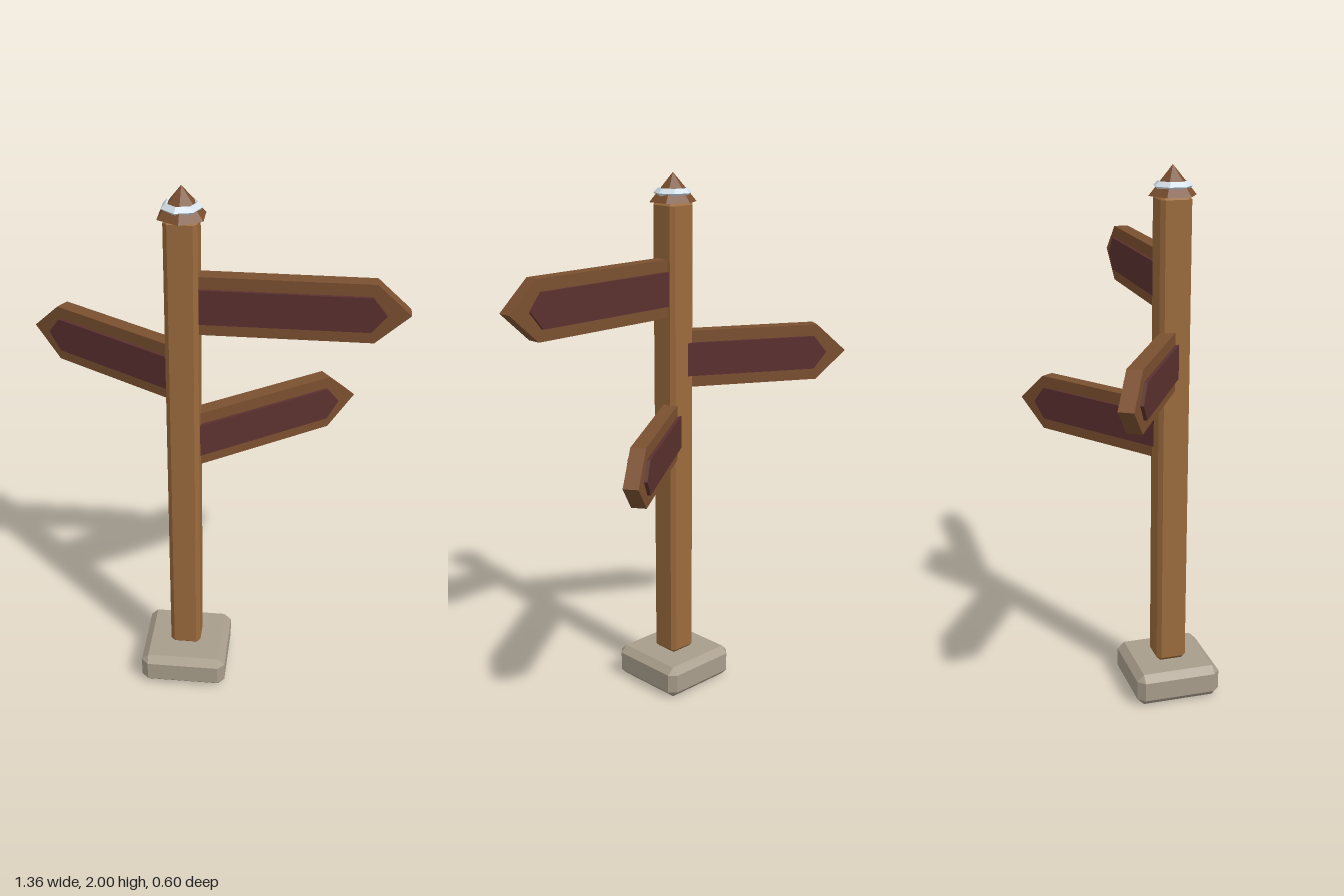
import * as THREE from 'three';
import { ConvexGeometry } from 'three/addons/geometries/ConvexGeometry.js';

const mat = (color) => new THREE.MeshStandardMaterial({ color, flatShading: true });
const postWood = mat(0x9a6a3c);
const signWood = mat(0x7a4f2f);
const panelWood = mat(0x5a302e);
const stone = mat(0xa89d8b);
const silver = mat(0xd5e2ec);

function add(parent, name, geometry, material, y = 0) {
  const mesh = new THREE.Mesh(geometry, material);
  mesh.name = name;
  mesh.position.y = y;
  parent.add(mesh);
  return mesh;
}

// Box with all edges and corners cut off at an angle
function chamferBox(w, h, d, c) {
  const points = [];
  for (const sx of [-1, 1]) for (const sy of [-1, 1]) for (const sz of [-1, 1]) {
    for (let axis = 0; axis < 3; axis++) {
      const inset = [c, c, c];
      inset[axis] = 0;
      points.push(new THREE.Vector3(
        sx * (w / 2 - inset[0]), sy * (h / 2 - inset[1]), sz * (d / 2 - inset[2])));
    }
  }
  return new ConvexGeometry(points);
}

// Pointed board running along +x, centred on z
function arrowBoard(start, shoulder, tip, half, thickness) {
  const shape = new THREE.Shape([
    [start, -half], [shoulder, -half], [tip, 0], [shoulder, half], [start, half],
  ].map(([x, y]) => new THREE.Vector2(x, y)));
  return new THREE.ExtrudeGeometry(shape, { depth: thickness, bevelEnabled: false })
    .translate(0, 0, -thickness / 2);
}

export function createModel() {
  const model = new THREE.Group();
  model.name = 'signpost';
  const pole = new THREE.Group();
  pole.name = 'pole';
  pole.position.set(-0.085, 0, 0.135);
  model.add(pole);

  // Stone foot and timber post
  add(pole, 'base', chamferBox(0.325, 0.125, 0.325, 0.026), stone, 0.0625);
  add(pole, 'post', chamferBox(0.115, 1.775, 0.115, 0.015), postWood, 1.0125);

  // Six-sided cap with a faceted metal band
  add(pole, 'cap', new THREE.ConeGeometry(0.088, 0.105, 6), signWood, 1.9475);
  const band = new THREE.TorusGeometry(0.054, 0.017, 4, 7).rotateX(Math.PI / 2);
  add(pole, 'capBand', band, silver, 1.928);

  // Direction signs: height, turn about the post, length to the tip
  const signs = [
    ['upperSign', 1.587, 0, 0.765],
    ['middleSign', 1.315, 150, 0.675],
    ['lowerSign', 1.042, 35, 0.72],
  ];
  for (const [name, y, turn, length] of signs) {
    const sign = new THREE.Group();
    sign.name = name;
    sign.position.y = y;
    sign.rotation.y = THREE.MathUtils.degToRad(turn);
    add(sign, 'board', arrowBoard(0, length - 0.117, length, 0.107, 0.054), signWood);
    add(sign, 'panel', arrowBoard(0.01, length - 0.13, length - 0.08, 0.063, 0.078), panelWood);
    pole.add(sign);
  }
  return model;
}
